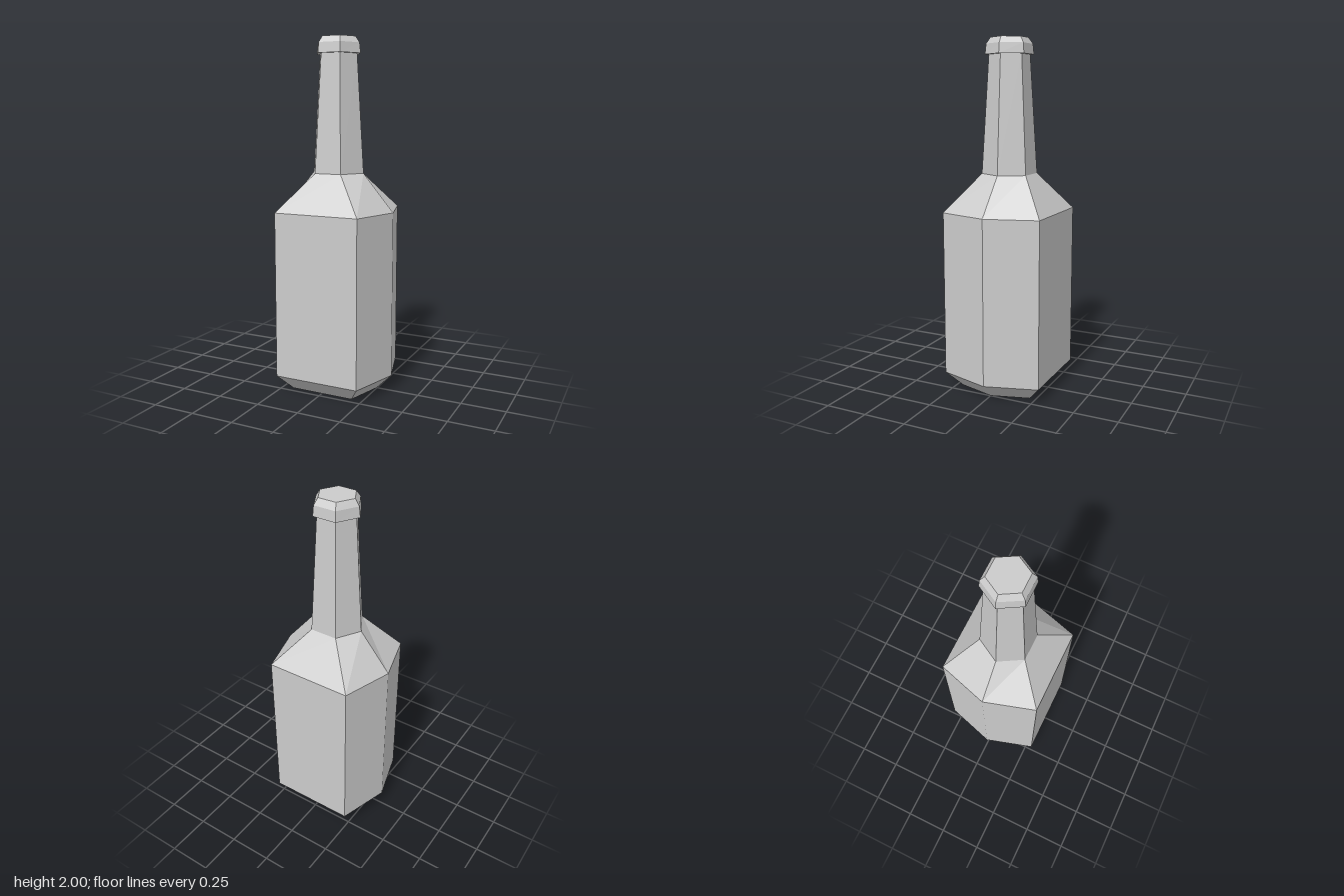
import * as THREE from 'three';

// Six-sided cross-section: points at +-side on x, corners at (+-cornerX, +-cornerZ)
function ring([y, side, cornerX, cornerZ]) {
  return [
    [side, y, 0], [cornerX, y, -cornerZ], [-cornerX, y, -cornerZ],
    [-side, y, 0], [-cornerX, y, cornerZ], [cornerX, y, cornerZ],
  ];
}

// Skin the sections from bottom to top, closing either end on request
function loft(name, sections, { bottom = false, top = false } = {}) {
  const rings = sections.map(ring);
  const positions = [];
  const tri = (a, b, c) => positions.push(...a, ...b, ...c);
  for (let r = 0; r < rings.length - 1; r++) {
    const lo = rings[r], hi = rings[r + 1];
    for (let i = 0; i < 6; i++) {
      const j = (i + 1) % 6;
      tri(lo[i], lo[j], hi[j]);
      tri(lo[i], hi[j], hi[i]);
    }
  }
  const first = rings[0], last = rings[rings.length - 1];
  for (let i = 1; i < 5; i++) {
    if (bottom) tri(first[0], first[i + 1], first[i]);
    if (top) tri(last[0], last[i], last[i + 1]);
  }
  const geometry = new THREE.BufferGeometry();
  geometry.setAttribute('position', new THREE.Float32BufferAttribute(positions, 3));
  geometry.computeVertexNormals();
  const material = new THREE.MeshStandardMaterial({ color: 0xcccccc, flatShading: true });
  const mesh = new THREE.Mesh(geometry, material);
  mesh.name = name;
  return mesh;
}

export function createModel() {
  const group = new THREE.Group();
  group.name = 'bottle';

  // Sections: [height, side x, corner x, corner z]
  const neckBase = [1.247, 0.157, 0.079, 0.136];
  const neckTop = [1.908, 0.115, 0.057, 0.1];

  // Body with bevelled foot and sloping shoulder
  group.add(loft('body', [
    [0, 0.248, 0.185, 0.214],
    [0.09, 0.338, 0.25, 0.294],
    [1.034, 0.338, 0.25, 0.294],
    neckBase,
  ], { bottom: true }));

  // Tapering neck
  group.add(loft('neck', [neckBase, neckTop]));

  // Overhanging lip with bevelled, closed top
  group.add(loft('lip', [
    neckTop,
    [1.908, 0.136, 0.068, 0.118],
    [1.965, 0.129, 0.065, 0.113],
    [2, 0.105, 0.053, 0.091],
  ], { top: true }));

  return group;
}
